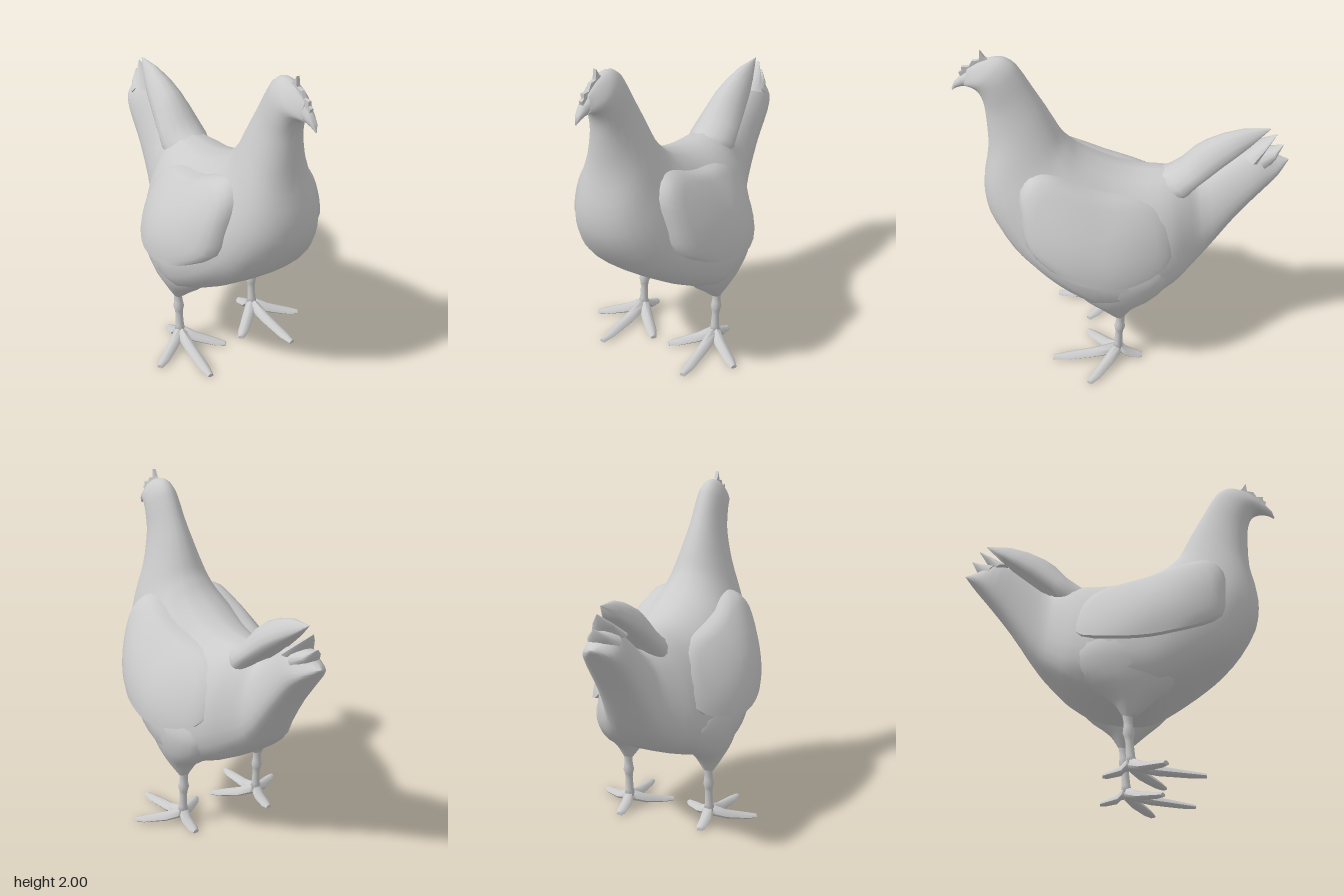
import * as THREE from 'three';
import { toCreasedNormals } from 'three/addons/utils/BufferGeometryUtils.js';

const material = new THREE.MeshStandardMaterial({ color: 0xcccccc });

// Closed skin over a list of loops, each with the same number of [x, y, z] points
function skin(loops) {
  const n = loops[0].length, pos = loops.flat(2), idx = [];
  const centre = (loop) => {
    for (let k = 0; k < 3; k++) pos.push(loop.reduce((s, p) => s + p[k], 0) / n);
    return pos.length / 3 - 1;
  };
  const first = centre(loops[0]), last = centre(loops[loops.length - 1]);
  for (let j = 0; j < n; j++) {
    const k = (j + 1) % n, e = (loops.length - 1) * n;
    for (let i = 0; i < loops.length - 1; i++) {
      const a = i * n + j, b = i * n + k;
      idx.push(a, a + n, b, b, a + n, b + n);
    }
    idx.push(first, j, k, last, e + k, e + j);
  }
  const geo = new THREE.BufferGeometry();
  geo.setAttribute('position', new THREE.Float32BufferAttribute(pos, 3));
  geo.setIndex(idx);
  return toCreasedNormals(geo, 0.95);
}

// Rings are [topZ, topY, bottomZ, bottomY, halfWidth, offsetX];
// sag moves the widest point down, most where the ring stands upright
function rings(list, sag = 0, n = 20) {
  return list.map(([tz, ty, bz, by, w, ox = 0]) => {
    const drop = sag * ((ty - by) / Math.hypot(ty - by, tz - bz)) ** 2;
    return Array.from({ length: n }, (_, j) => {
      const t = (j / n) * Math.PI * 2, s = Math.sin(t);
      const h = 0.5 + 0.5 * (Math.cos(t) - drop * s * s);
      return [ox + w * s, by + (ty - by) * h, bz + (tz - bz) * h];
    });
  });
}

// Smooth the ring list along its length
function refine(list, steps) {
  const a = new THREE.CatmullRomCurve3(list.map((r) => new THREE.Vector3(r[0], r[1], r[4])));
  const b = new THREE.CatmullRomCurve3(list.map((r) => new THREE.Vector3(r[2], r[3], r[5] || 0)));
  return Array.from({ length: steps + 1 }, (_, i) => {
    const p = a.getPoint(i / steps), q = b.getPoint(i / steps);
    return [p.x, p.y, q.x, q.y, p.z, q.z];
  });
}

const flip = (loops) => loops.map((l) => l.map(([x, y, z]) => [-x, y, z]).reverse());

function wingLoops() {
  const outline = [[0.57, 1.25], [0.5, 1.33], [0.43, 1.335], [0.35, 1.31], [0.22, 1.25], [0.08, 1.2],
    [-0.16, 1.14], [-0.24, 1.07], [-0.29, 0.96], [-0.27, 0.81], [-0.08, 0.74], [0.1, 0.735],
    [0.25, 0.77], [0.38, 0.82], [0.54, 0.93], [0.57, 1.1]];
  const curve = new THREE.CatmullRomCurve3(outline.map(([z, y]) => new THREE.Vector3(0, y, z)), true);
  const edge = curve.getPoints(40).slice(0, 40);
  // Steep shoulder at the top edge, flattening below, curving in at both ends
  const outward = (y, z) => {
    const drop = THREE.MathUtils.clamp((1.19 + 0.3 * z - y) / 0.45, 0, 1);
    const base = 0.21 + 0.22 * Math.max(0, z - 0.1);
    const x = THREE.MathUtils.lerp(base, 0.487, Math.sin(drop * Math.PI / 2) ** 0.75);
    const end = z > 0.12 ? 0.2 * ((z - 0.12) / 0.4) ** 2.5 : 0.3 * ((0.12 - z) / 0.4) ** 2;
    return x * (1 - end);
  };
  // The rim rounds in toward the body except along the flared lower edge
  return [[1, 0.04, 0.06], [1, 0, 0.05], [0.96, 0, 0.018], [0.9, 0, 0], [0.78, 0, 0], [0.6, 0, 0], [0.4, 0, 0],
    [0.2, 0, 0], [0.02, 0, 0]].map(([s, tuck, round]) => edge.map((p) => {
    const y = 1.02 + (p.y - 1.02) * s, z = 0.14 + (p.z - 0.14) * s;
    return [outward(y, z) - tuck - round * THREE.MathUtils.smoothstep(y, 0.76, 1.0), y, z];
  }));
}

export function createModel() {
  const model = new THREE.Group();
  const add = (name, geo, parent = model) => {
    const mesh = new THREE.Mesh(geo, material);
    mesh.name = name;
    parent.add(mesh);
  };

  // Lower tail, body, neck and head in one skin from tail tip to face
  add('body', skin(rings(refine([
    [-0.935, 1.312, -0.935, 1.308, 0.003], [-0.84, 1.34, -0.875, 1.24, 0.085],
    [-0.74, 1.395, -0.8, 1.15, 0.118], [-0.6, 1.305, -0.66, 0.97, 0.13], [-0.43, 1.19, -0.48, 0.71, 0.17],
    [-0.35, 1.215, -0.39, 0.62, 0.235], [-0.26, 1.235, -0.3, 0.55, 0.31], [-0.08, 1.24, -0.1, 0.46, 0.4],
    [0.05, 1.27, 0.12, 0.44, 0.425], [0.17, 1.32, 0.32, 0.54, 0.42], [0.25, 1.37, 0.5, 0.66, 0.38],
    [0.3, 1.42, 0.65, 0.79, 0.32], [0.34, 1.47, 0.78, 1.0, 0.255], [0.38, 1.55, 0.8, 1.17, 0.205],
    [0.43, 1.65, 0.76, 1.4, 0.15], [0.49, 1.76, 0.76, 1.6, 0.11], [0.55, 1.87, 0.77, 1.7, 0.098],
    [0.59, 1.925, 0.8, 1.765, 0.09], [0.65, 1.96, 0.83, 1.785, 0.078], [0.75, 1.945, 0.85, 1.79, 0.056],
    [0.84, 1.895, 0.865, 1.79, 0.034],
  ], 60), 0.43, 24)));

  // Beak with a hooked tip
  add('beak', skin(rings([[0.81, 1.9, 0.82, 1.785, 0.045], [0.88, 1.85, 0.87, 1.785, 0.03],
    [0.92, 1.805, 0.905, 1.775, 0.018], [0.935, 1.765, 0.93, 1.757, 0.003]], 0, 12)));

  // Thin toothed comb
  const comb = new THREE.Shape([[0.7, 1.93], [0.74, 1.96], [0.765, 2], [0.772, 1.945], [0.81, 1.94], [0.83, 1.905],
    [0.87, 1.905], [0.87, 1.88], [0.888, 1.87], [0.875, 1.83], [0.8, 1.85]].map(([z, y]) => new THREE.Vector2(-z, y)));
  const combGeo = new THREE.ExtrudeGeometry(comb, { depth: 0.02, bevelEnabled: false });
  combGeo.translate(0, 0, -0.01).rotateY(Math.PI / 2);
  add('comb', combGeo);

  // Raised upper tail, pointed at the back and sunk into the saddle
  add('upperTail', skin(rings([[-0.82, 1.517, -0.82, 1.513, 0.003], [-0.67, 1.51, -0.71, 1.42, 0.055],
    [-0.56, 1.475, -0.64, 1.36, 0.085], [-0.46, 1.425, -0.56, 1.295, 0.108], [-0.4, 1.38, -0.5, 1.245, 0.122],
    [-0.33, 1.3, -0.43, 1.185, 0.138], [-0.25, 1.24, -0.38, 1.12, 0.15],
    [-0.1, 1.2, -0.26, 1.02, 0.12]], 0.7, 16)));

  // Stacked pointed feathers above the end of the lower tail
  add('upperFeather', skin(rings([[-0.86, 1.482, -0.86, 1.478, 0.003], [-0.79, 1.435, -0.8, 1.39, 0.06],
    [-0.68, 1.36, -0.77, 1.33, 0.105]], 0, 12)));
  add('middleFeather', skin(rings([[-0.9, 1.412, -0.9, 1.408, 0.003], [-0.84, 1.385, -0.86, 1.33, 0.06],
    [-0.75, 1.37, -0.82, 1.27, 0.1]], 0, 12)));

  // Wings, thighs, legs and feet on both sides
  const thigh = rings(refine([[-0.01, 0.34, 0.05, 0.34, 0.028, 0.265], [-0.07, 0.43, 0.15, 0.43, 0.085, 0.262],
    [-0.22, 0.55, 0.28, 0.55, 0.13, 0.268], [-0.28, 0.7, 0.33, 0.7, 0.145, 0.27],
    [-0.2, 0.86, 0.3, 0.86, 0.1, 0.26]], 12));
  const wing = wingLoops();
  const legProfile = [[0.001, 0.07], [0.034, 0.08], [0.025, 0.12], [0.022, 0.2], [0.026, 0.23], [0.033, 0.255],
    [0.027, 0.285], [0.024, 0.32], [0.03, 0.37]].map(([r, y]) => new THREE.Vector2(r, y));
  // Toes as [name, length, sideways, forward]
  const toes = [['frontToe', 0.4, 0.03, 0.4], ['outerToe', 0.295, 0.245, 0.17],
    ['innerToe', 0.285, -0.215, 0.2], ['backToe', 0.15, 0, -1]];
  for (const [side, s] of [['left', 1], ['right', -1]]) {
    add(`${side}Wing`, skin(s > 0 ? wing : flip(wing)));
    add(`${side}Thigh`, skin(s > 0 ? thigh : flip(thigh)));

    const leg = new THREE.LatheGeometry(legProfile, 12);
    leg.rotateX(-0.07).translate(s * 0.265, 0, 0.037);
    add(`${side}Leg`, leg);

    const foot = new THREE.Group();
    foot.name = `${side}Foot`;
    foot.position.set(s * 0.265, 0, 0.03);
    model.add(foot);
    for (const [name, len, dx, dz] of toes) {
      const toe = skin(rings([[-0.03, 0.09, -0.025, 0.05, 0.018], [0.02, 0.108, 0.03, 0.04, 0.036],
        [len * 0.35, 0.07, len * 0.35, 0.018, 0.036], [len * 0.8, 0.038, len * 0.8, 0.003, 0.032],
        [len, 0.024, len, 0.001, 0.018]], 0.4, 8));
      add(name, toe.rotateY(Math.atan2(s * dx, dz)), foot);
    }
  }
  return model;
}
